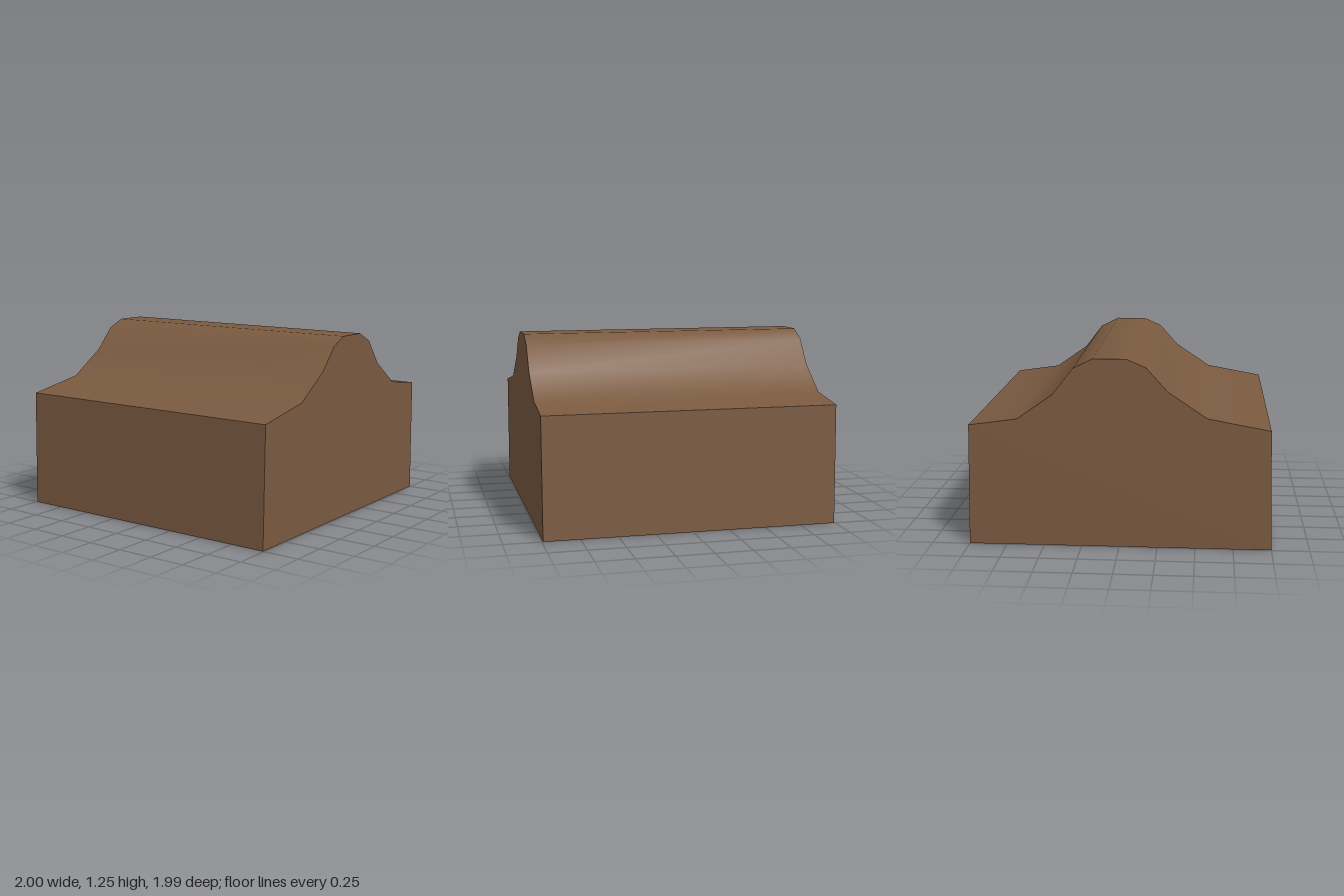
import * as THREE from 'three';
import { toCreasedNormals } from 'three/addons/utils/BufferGeometryUtils.js';

export function createModel() {
  const group = new THREE.Group();
  group.name = 'ridgeBlock';

  // Cross-section: flat base, near-vertical sides, bell-shaped ridge on top
  const profile = [
    [-1, 0], [1, 0], [0.985, 0.81], [0.665, 0.855], [0.43, 1.02], [0.3, 1.19],
    [0.17, 1.255], [-0.05, 1.255], [-0.175, 1.2], [-0.315, 1.045], [-0.57, 0.875], [-0.98, 0.8],
  ];
  const shape = new THREE.Shape(profile.map(([x, y]) => new THREE.Vector2(x, y)));

  // Straight run from back to front, smooth over the ridge and sharp at the corners
  const depth = 1.985;
  const extruded = new THREE.ExtrudeGeometry(shape, { depth, bevelEnabled: false });
  extruded.translate(0, 0, -depth / 2);

  const block = new THREE.Mesh(
    toCreasedNormals(extruded, 0.7),
    new THREE.MeshStandardMaterial({ color: 0x7a5a40 })
  );
  block.name = 'ridgedBlock';
  group.add(block);
  return group;
}
